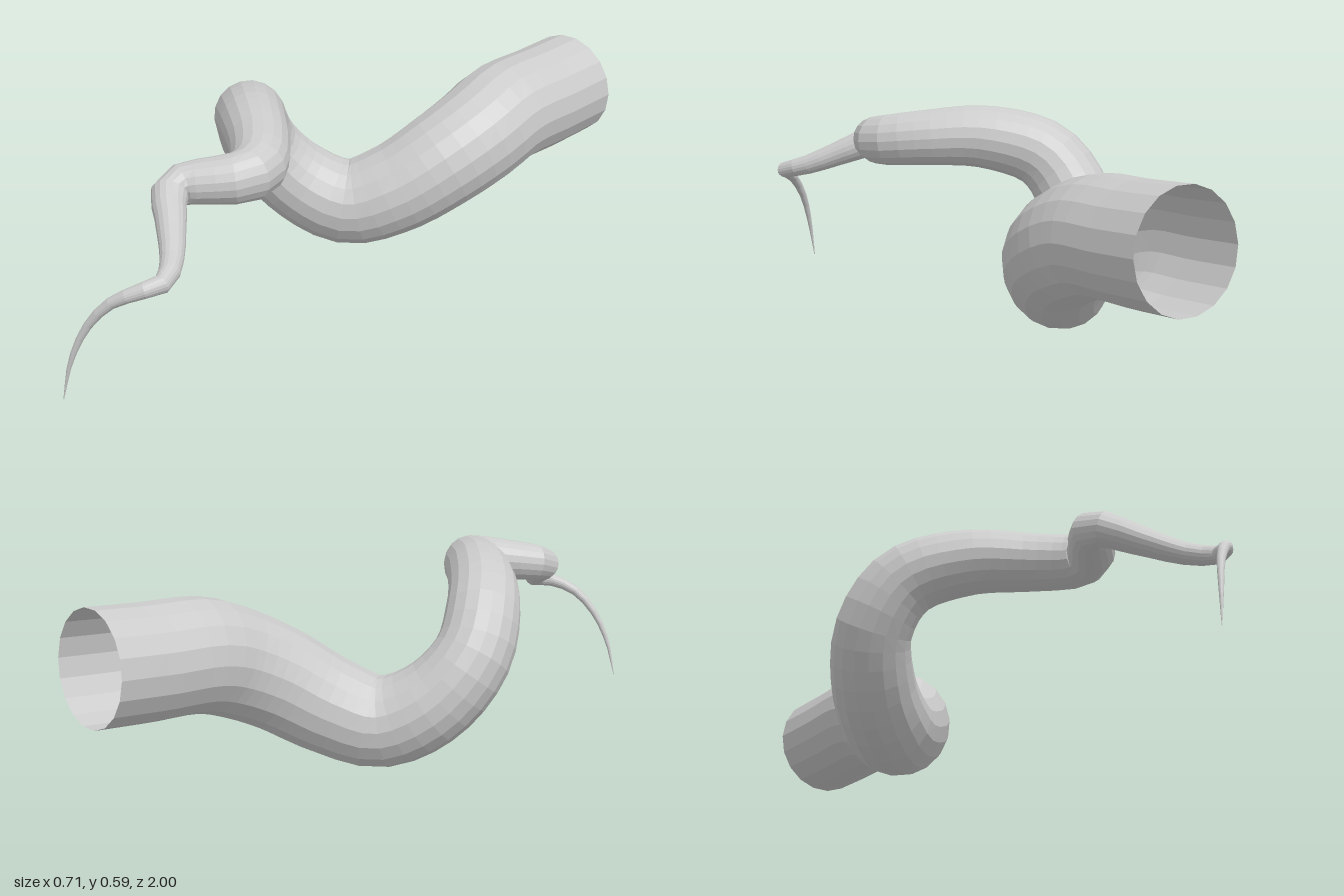
import * as THREE from 'three';

// Spine stations from the open root to the tip: x, y, z, radius
const SPINE = [
  [0.12, 0.38, -0.995, 0.16], [0.125, 0.37, -0.83, 0.16], [0.13, 0.362, -0.66, 0.16],
  [0.132, 0.325, -0.55, 0.156], [0.1, 0.265, -0.43, 0.15], [0.02, 0.18, -0.305, 0.14],
  [-0.08, 0.135, -0.2, 0.131], [-0.19, 0.2, -0.1, 0.122], [-0.247, 0.325, -0.005, 0.112],
  [-0.2, 0.45, 0.08, 0.105], [-0.06, 0.505, 0.19, 0.095], [0.1, 0.502, 0.3, 0.083],
  [0.18, 0.492, 0.38, 0.077], [0.192, 0.488, 0.435, 0.071], [0.15, 0.482, 0.5, 0.063],
  [0.1, 0.475, 0.56, 0.057], [0.1, 0.465, 0.605, 0.051], [0.19, 0.42, 0.675, 0.039],
  [0.28, 0.377, 0.745, 0.03], [0.328, 0.357, 0.81, 0.025], [0.305, 0.344, 0.865, 0.02],
  [0.25, 0.308, 0.915, 0.015], [0.2, 0.238, 0.953, 0.011], [0.165, 0.14, 0.983, 0.007],
  [0.143, 0.025, 0.998, 0.001],
];
const RINGS = 64;
const SIDES = 18;

// Radius at curve parameter t, matching the spacing of the stations
function radiusAt(t) {
  const f = t * (SPINE.length - 1);
  const i = Math.min(Math.floor(f), SPINE.length - 2);
  return THREE.MathUtils.lerp(SPINE[i][3], SPINE[i + 1][3], f - i);
}

// Tapering tube swept along the spine, open at its root
function taperedTube() {
  const curve = new THREE.CatmullRomCurve3(SPINE.map(([x, y, z]) => new THREE.Vector3(x, y, z)));
  curve.arcLengthDivisions = 600;
  const { normals, binormals } = curve.computeFrenetFrames(RINGS, false);
  const positions = [];
  const index = [];
  for (let i = 0; i <= RINGS; i++) {
    const t = curve.getUtoTmapping(i / RINGS);
    const centre = curve.getPoint(t);
    const r = radiusAt(t);
    for (let j = 0; j < SIDES; j++) {
      const a = (j / SIDES) * Math.PI * 2;
      const p = centre.clone()
        .addScaledVector(normals[i], Math.cos(a) * r)
        .addScaledVector(binormals[i], Math.sin(a) * r);
      positions.push(p.x, p.y, p.z);
    }
  }
  for (let i = 0; i < RINGS; i++) {
    for (let j = 0; j < SIDES; j++) {
      const k = (j + 1) % SIDES;
      const a = i * SIDES + j, b = i * SIDES + k;
      index.push(a, b, a + SIDES, b, b + SIDES, a + SIDES);
    }
  }
  const geometry = new THREE.BufferGeometry();
  geometry.setAttribute('position', new THREE.Float32BufferAttribute(positions, 3));
  geometry.setIndex(index);
  geometry.computeVertexNormals();
  return geometry;
}

export function createModel() {
  const group = new THREE.Group();
  group.name = 'tentacle';
  const material = new THREE.MeshStandardMaterial({
    color: 0xcccccc, flatShading: true, side: THREE.DoubleSide,
  });
  const arm = new THREE.Mesh(taperedTube(), material);
  arm.name = 'curlingArm';
  group.add(arm);
  return group;
}
